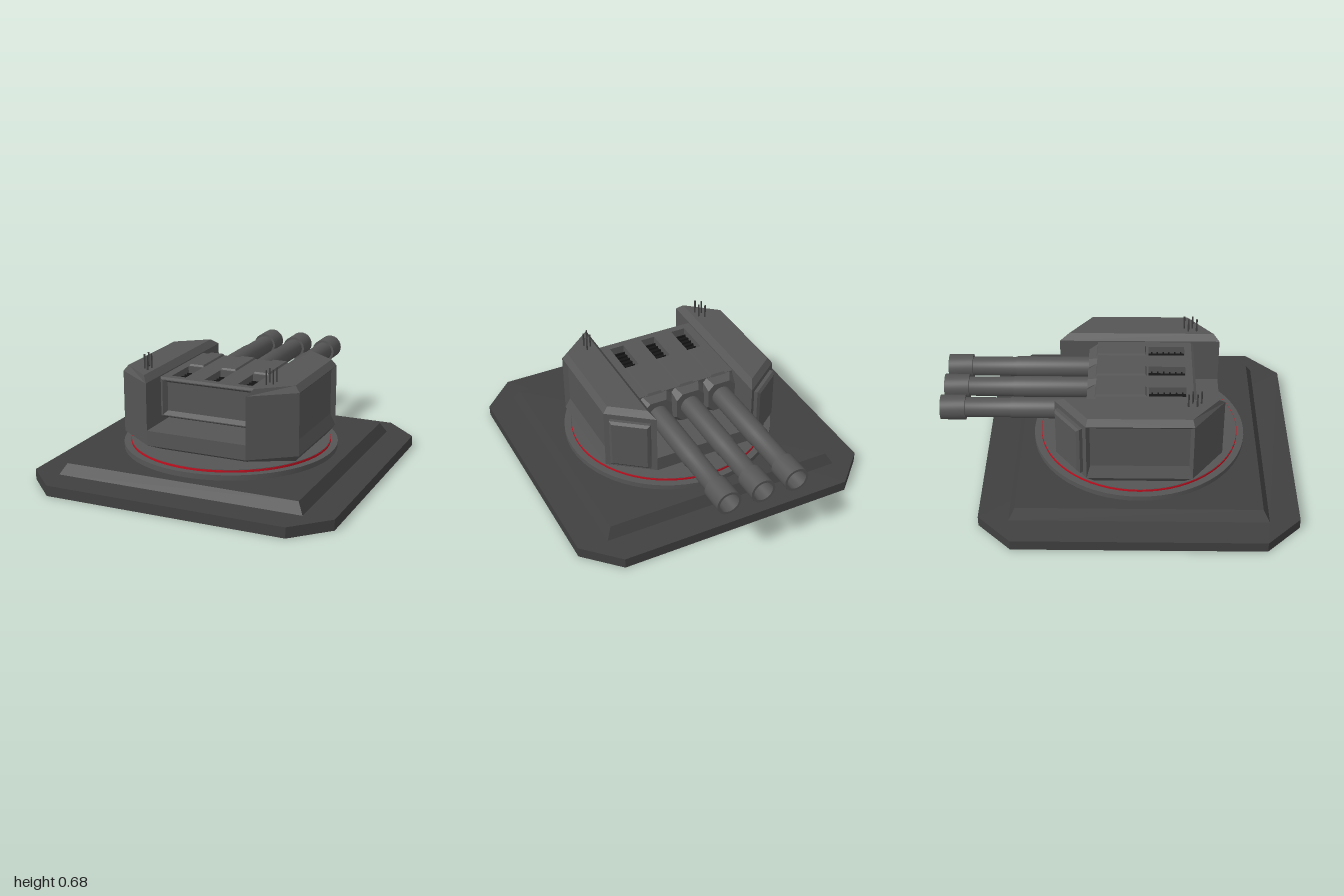
import * as THREE from 'three';
import { toCreasedNormals } from 'three/addons/utils/BufferGeometryUtils.js';

const material = (color, flatShading = true) => new THREE.MeshStandardMaterial({ color, flatShading });
const baseMat = material(0x404040);
const hullMat = material(0x555555);
const roundMat = material(0x555555, false);
const redMat = material(0xc01020, false);
const blackMat = material(0x151515);

const CZ = 0.115; // turning axis of the turret

// Skin convex rings that run counter-clockwise about the direction of travel
function loft(rings, { start = true, end = true, skip = () => false } = {}) {
  const pos = [];
  const tri = (...p) => p.forEach((v) => pos.push(...v));
  const n = rings[0].length;
  for (let r = 0; r + 1 < rings.length; r++) {
    const a = rings[r], b = rings[r + 1];
    for (let i = 0; i < n; i++) {
      if (skip(r, i)) continue;
      const j = (i + 1) % n;
      tri(a[i], a[j], b[j]);
      tri(a[i], b[j], b[i]);
    }
  }
  const first = rings[0], last = rings[rings.length - 1];
  for (let i = 1; i + 1 < n; i++) {
    if (start) tri(first[0], first[i + 1], first[i]);
    if (end) tri(last[0], last[i], last[i + 1]);
  }
  const geo = new THREE.BufferGeometry();
  geo.setAttribute('position', new THREE.Float32BufferAttribute(pos, 3));
  geo.computeVertexNormals();
  return geo;
}

function mirrorX(geo) {
  const g = geo.clone();
  const p = g.attributes.position;
  for (let t = 0; t < p.count; t += 3) {
    const v = [0, 2, 1].map((k) => new THREE.Vector3().fromBufferAttribute(p, t + k));
    v.forEach((q, k) => p.setXYZ(t + k, -q.x, q.y, q.z));
  }
  g.computeVertexNormals();
  return g;
}

// Chamfered rectangle at height y, centred on the turret axis
const octagon = (y, x, z, cx, cz) => [
  [cx, z], [x, cz], [x, -cz], [cx, -z], [-cx, -z], [-x, -cz], [-x, cz], [-cx, z],
].map(([px, pz]) => [px, y, pz + CZ]);

// Rectangles facing +z and +x
const rectZ = (z, x, y0, y1) => [[-x, y0, z], [x, y0, z], [x, y1, z], [-x, y1, z]];
const rectX = (x, z0, z1, y0, y1) => [[x, y0, z1], [x, y0, z0], [x, y1, z0], [x, y1, z1]];

export function createModel() {
  const model = new THREE.Group();
  const add = (name, geo, mat, x = 0, y = 0, z = 0, parent = model) => {
    const mesh = new THREE.Mesh(geo, mat);
    mesh.name = name;
    mesh.position.set(x, y, z);
    parent.add(mesh);
    return mesh;
  };
  const box = (w, h, d) => new THREE.BoxGeometry(w, h, d);
  const disc = (r, h) => toCreasedNormals(new THREE.CylinderGeometry(r, r, h, 64), 0.6);

  // Stepped foundation
  add('basePlate', loft([octagon(0, 0.88, 0.885, 0.69, 0.695), octagon(0.06, 0.88, 0.885, 0.69, 0.695)]), baseMat);
  const square = (y, h) => [[h, h], [h, -h], [-h, -h], [-h, h]].map(([x, z]) => [x, y, z + CZ]);
  add('baseStep', loft([square(0.06, 0.715), square(0.12, 0.68)]), baseMat);
  add('turntable', disc(0.613, 0.03), roundMat, 0, 0.135, CZ);
  add('redRing', disc(0.573, 0.013), redMat, 0, 0.1555, CZ);
  add('turntableCap', disc(0.57, 0.004), roundMat, 0, 0.163, CZ);

  // Turret underside and floor between the towers
  add('lowerHull', loft([octagon(0.163, 0.495, 0.37, 0.26, 0.25), octagon(0.21, 0.53, 0.47, 0.295, 0.29)]), hullMat);
  add('turretFloor', box(0.59, 0.085, 0.94), hullMat, 0, 0.2525, CZ);

  // Side towers with a recessed outer panel
  const plan = (y) => [[0.295, y, -0.355], [0.295, y, 0.585], [0.53, y, 0.41], [0.53, y, -0.175]];
  const roof = [[0.325, 0.6, -0.3], [0.325, 0.6, 0.55], [0.502, 0.6, 0.4], [0.502, 0.6, -0.165]];
  const towerParts = {
    tower: loft([plan(0.21), plan(0.565), roof], { skip: (r, i) => r === 0 && i === 2 }),
    towerSidePanel: loft([
      rectX(0.53, -0.175, 0.41, 0.21, 0.565),
      rectX(0.505, -0.155, 0.39, 0.28, 0.54),
    ], { start: false }),
  };
  // Raised armour plate on the rear diagonal wall
  const u = new THREE.Vector3(0.235, 0, 0.18).normalize();
  const nrm = new THREE.Vector3(u.z, 0, -u.x);
  const plate = (out, half, y0, y1) => [[half, y0], [-half, y0], [-half, y1], [half, y1]].map(([s, y]) =>
    new THREE.Vector3(0.4125, y, -0.265).addScaledVector(u, s).addScaledVector(nrm, out).toArray());
  towerParts.armourPlate = loft([
    plate(-0.01, 0.115, 0.235, 0.535), plate(0.02, 0.115, 0.235, 0.535), plate(0.032, 0.1, 0.25, 0.52),
  ]);
  // Orient the plate rings outward whichever way they wind
  for (const side of [1, -1]) {
    const tower = new THREE.Group();
    tower.name = side > 0 ? 'leftTower' : 'rightTower';
    model.add(tower);
    for (const [name, geo] of Object.entries(towerParts)) {
      add(name, side > 0 ? geo : mirrorX(geo), hullMat, 0, 0, 0, tower);
    }
    // Staggered antenna cluster
    for (let i = 0; i < 4; i++) {
      add('antenna', new THREE.CylinderGeometry(0.005, 0.005, 0.09, 8), baseMat,
        side * (i % 2 ? 0.355 : 0.385), 0.635, 0.378 + i * 0.024, tower);
    }
  }

  // Gun housing: body, slotted roof and framed front
  const gunHouse = new THREE.Group();
  gunHouse.name = 'gunHouse';
  model.add(gunHouse);
  const gunX = [-0.2, 0, 0.2];
  add('gunHouseBody', box(0.586, 0.17, 0.53), hullMat, 0, 0.415, 0.135, gunHouse);
  const rectShape = (Type, x0, x1, y0, y1) => new Type([
    new THREE.Vector2(x0, y0), new THREE.Vector2(x1, y0), new THREE.Vector2(x1, y1), new THREE.Vector2(x0, y1),
  ]);
  const roofShape = rectShape(THREE.Shape, -0.293, 0.293, -0.4, 0.13);
  gunX.forEach((x) => roofShape.holes.push(rectShape(THREE.Path, x - 0.043, x + 0.043, -0.375, -0.165)));
  const roofGeo = new THREE.ExtrudeGeometry(roofShape, { depth: 0.06, bevelEnabled: false }).rotateX(-Math.PI / 2);
  add('slottedRoof', roofGeo, hullMat, 0, 0.5, 0, gunHouse);
  add('frontFrame', loft([
    rectZ(0.4, 0.293, 0.33, 0.56), rectZ(0.415, 0.293, 0.33, 0.56), rectZ(0.43, 0.283, 0.34, 0.55),
    rectZ(0.43, 0.275, 0.345, 0.545), rectZ(0.405, 0.255, 0.365, 0.53),
  ], { start: false }), hullMat, 0, 0, 0, gunHouse);

  // Stepped barrel with a hollow muzzle
  const profile = [
    [0.06, 0.1], [0.06, 0.6], [0.056, 0.61], [0.056, 0.86], [0.07, 0.86], [0.07, 1], [0.056, 1], [0.05, 0.86], [0, 0.86],
  ].map(([r, y]) => new THREE.Vector2(r, y));
  const barrelGeo = toCreasedNormals(new THREE.LatheGeometry(profile, 32), 0.5).rotateX(-Math.PI / 2);
  // Eight-sided cowl round each barrel root
  const cowlRing = (z, w, h, c) => [
    [-w + c, -h], [w - c, -h], [w, -h + c], [w, h - c], [w - c, h], [-w + c, h], [-w, h - c], [-w, -h + c],
  ].map(([x, y]) => [x, y, z]);
  const cowlGeo = loft([cowlRing(-0.18, 0.085, 0.09, 0.035), cowlRing(-0.125, 0.096, 0.115, 0.02), cowlRing(-0.1, 0.096, 0.115, 0.02)]);
  const lid = (y, h, inset) => rectShape(THREE.Shape, -0.046 + inset, 0.046 - inset, -0.155, 0.14)
    && [[1, 1], [1, -1], [-1, -1], [-1, 1]].map(([sx, sz]) => [sx * (0.048 - inset), y + h, 0.01 + sz * (0.145 - inset)]);
  const lidGeo = loft([lid(0.555, 0, 0), lid(0.555, 0.015, 0.008)]);
  for (const x of gunX) {
    const gun = new THREE.Group();
    gun.name = 'gun';
    gun.position.x = x;
    model.add(gun);
    add('barrel', barrelGeo, roundMat, 0, 0.445, 0, gun);
    add('cowl', cowlGeo, hullMat, 0, 0.445, 0, gun);
    add('lid', lidGeo, hullMat, 0, 0, 0, gun);
    add('lowerRail', box(0.096, 0.012, 0.45), hullMat, 0, 0.326, 0.13, gun);
    add('ventSlot', box(0.084, 0.02, 0.208), blackMat, 0, 0.505, 0.27, gun);
    for (let i = 0; i < 6; i++) add('ventSlat', box(0.084, 0.012, 0.008), blackMat, 0, 0.52, 0.185 + i * 0.034, gun);
  }
  return model;
}
